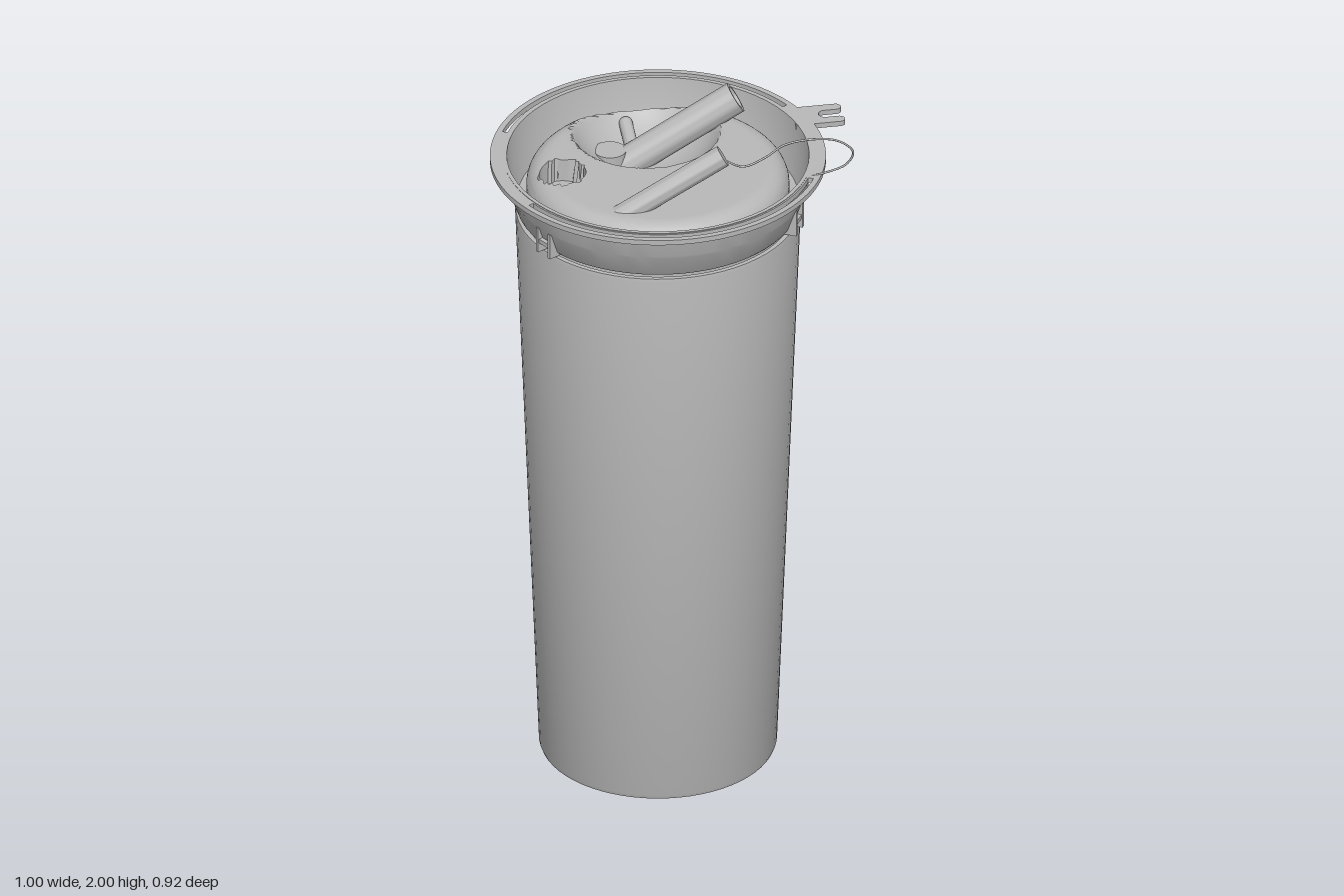
import * as THREE from 'three';
import { toCreasedNormals } from 'three/addons/utils/BufferGeometryUtils.js';

const grey = new THREE.MeshStandardMaterial({ color: 0xb8b8b8 });
grey.name = 'grey plastic';
const AXIS = -0.04; // x of the canister's centre line

const v2 = ([x, y]) => new THREE.Vector2(x, y);
const v3 = ([x, y, z]) => new THREE.Vector3(x, y, z);

function part(name, geometry, crease = 0.5) {
  const mesh = new THREE.Mesh(crease ? toCreasedNormals(geometry, crease) : geometry, grey);
  mesh.name = name;
  return mesh;
}

const lathe = (points, sides = 64) => new THREE.LatheGeometry(points.map(v2), sides);

// Straight pipe from a to b; solid when inner is 0
function pipe(name, a, b, outer, inner = 0) {
  const from = v3(a), dir = v3(b).sub(from), len = dir.length();
  const profile = [[outer, 0], [outer, len], [inner, len]];
  if (inner) profile.push([inner, 0]);
  const mesh = part(name, lathe(profile, 28));
  mesh.position.copy(from);
  mesh.quaternion.setFromUnitVectors(new THREE.Vector3(0, 1, 0), dir.normalize());
  return mesh;
}

// Flat plate drawn in x and -z, lying with its underside at y
function plate(name, shape, y, depth) {
  const g = new THREE.ExtrudeGeometry(shape, { depth, bevelEnabled: false, curveSegments: 64 });
  g.rotateX(-Math.PI / 2).translate(0, y, 0);
  return part(name, g);
}

// Domed lid top with a spherical bowl and a small round port sunk into it
function domeGeometry() {
  const profile = [];
  for (let i = 0; i <= 4; i++) profile.push([0.36, 1.72 + 0.0125 * i]);
  for (let i = 1; i <= 10; i++) {
    const t = (i / 10) * Math.PI / 2;
    profile.push([0.3 + 0.06 * Math.cos(t), 1.77 + 0.065 * Math.sin(t)]);
  }
  for (let i = 1; i <= 36; i++) profile.push([0.3 * (1 - i / 36), 1.835]);
  const g = lathe(profile, 144);
  const p = g.attributes.position;
  const bowl = { x: 0, z: -0.18, y: 1.957, r: 0.237 };
  const port = { x: -0.265, z: 0, r: 0.063, floor: 1.77 };
  for (let i = 0; i < p.count; i++) {
    let x = p.getX(i), y = p.getY(i), z = p.getZ(i);
    const d2 = (x - bowl.x) ** 2 + (z - bowl.z) ** 2;
    if (d2 < bowl.r ** 2) y = Math.min(y, bowl.y - Math.sqrt(bowl.r ** 2 - d2));
    // Vertices close to the port's edge snap onto it, for a clean wall
    const d = Math.hypot(x - port.x, z - port.z);
    const inside = d < port.r;
    if (Math.abs(d - port.r) < 0.007) {
      const k = (port.r + (inside ? -0.001 : 0.001)) / d;
      x = port.x + (x - port.x) * k;
      z = port.z + (z - port.z) * k;
    }
    if (inside) y = port.floor;
    p.setXYZ(i, x, y, z);
  }
  return g;
}

// Small clip under the lid: two wedge cheeks joined by a bar
function clip(angle) {
  const group = new THREE.Group();
  group.name = 'lidClip';
  const wedge = new THREE.Shape([[0.375, 1.7], [0.413, 1.7], [0.413, 1.775], [0.4, 1.775]].map(v2));
  for (const side of [-1, 1]) {
    const g = new THREE.ExtrudeGeometry(wedge, { depth: 0.01, bevelEnabled: false });
    g.translate(0, 0, side * 0.025 - 0.005);
    group.add(part('clipCheek', g));
  }
  const bar = part('clipBar', new THREE.BoxGeometry(0.025, 0.012, 0.05));
  bar.position.set(0.398, 1.735, 0);
  group.add(bar);
  group.rotation.y = angle;
  return group;
}

export function createModel() {
  const model = new THREE.Group();
  model.name = 'canister';
  const round = new THREE.Group();
  round.name = 'roundParts';
  round.position.x = AXIS;
  model.add(round);

  // Tapered cup, open under the lid
  round.add(part('cup', lathe([
    [0, 0], [0.315, 0], [0.322, 0.004], [0.326, 0.015], [0.391, 1.685], [0.389, 1.695],
    [0.376, 1.695], [0.312, 0.02], [0, 0.02],
  ])));

  // Lid collar, from its underside up the outside and down to the trough
  round.add(part('lidCollar', lathe([
    [0, 1.706], [0.383, 1.706], [0.388, 1.712], [0.409, 1.772], [0.413, 1.78], [0.42, 1.845],
    [0.425, 1.862], [0.414, 1.862], [0.403, 1.785], [0.385, 1.725], [0.355, 1.72],
  ])));
  round.add(part('lidDome', domeGeometry(), 0.6));

  // Flange with a long curved slot at front and back
  const flange = new THREE.Shape().absarc(0, 0, 0.46, 0, Math.PI * 2);
  flange.holes.push(new THREE.Path().absarc(0, 0, 0.418, 0, Math.PI * 2, true));
  for (const turn of [0, Math.PI]) {
    const a = turn + 0.47, b = turn + Math.PI - 0.47;
    flange.holes.push(new THREE.Path().absarc(0, 0, 0.444, a, b).absarc(0, 0, 0.429, b, a, true));
  }
  round.add(plate('flange', flange, 1.845, 0.015));

  for (const angle of [Math.PI / 2, -Math.PI / 6, Math.PI * 7 / 6]) round.add(clip(angle));

  // Forked tab on the left of the flange
  const tab = new THREE.Shape();
  tab.moveTo(0.36, 0.09).lineTo(0.485, 0.09);
  tab.absarc(0.485, 0.105, 0.015, -Math.PI / 2, Math.PI / 2);
  tab.lineTo(0.45, 0.12);
  tab.absarc(0.45, 0.138, 0.018, -Math.PI / 2, Math.PI / 2, true);
  tab.lineTo(0.485, 0.156);
  tab.absarc(0.485, 0.171, 0.015, -Math.PI / 2, Math.PI / 2);
  tab.lineTo(0.36, 0.186);
  model.add(plate('forkedTab', tab, 1.844, 0.015));

  // Back spout: slanted open tube, drop pipe through the lid and a side nub
  model.add(pipe('backSpout', [-0.13, 1.695, -0.21], [0.215, 1.895, -0.21], 0.045, 0.034));
  model.add(pipe('dropPipe', [-0.135, 1.69, -0.21], [-0.135, 1.765, -0.21], 0.045));
  model.add(pipe('sideNub', [-0.07, 1.745, -0.22], [-0.07, 1.775, -0.325], 0.019));
  const nubEnd = part('nubEnd', new THREE.SphereGeometry(0.019, 16, 12), 0);
  nubEnd.position.set(-0.07, 1.775, -0.325);
  model.add(nubEnd);

  // Front spout, closed at its tip
  model.add(pipe('frontSpout', [-0.19, 1.81, 0.225], [0.1, 1.972, 0.223], 0.031));

  // Thin cord looping from the front spout to the flange
  const cord = new THREE.CatmullRomCurve3([
    [0.1, 1.955, 0.212], [0.16, 1.922, 0.206], [0.22, 1.945, 0.208], [0.27, 1.983, 0.216],
    [0.34, 1.997, 0.221], [0.42, 1.98, 0.212], [0.467, 1.93, 0.196], [0.45, 1.885, 0.183],
    [0.4, 1.864, 0.179], [0.355, 1.858, 0.182],
  ].map(v3));
  model.add(part('cord', new THREE.TubeGeometry(cord, 80, 0.003, 8), 0));

  return model;
}
